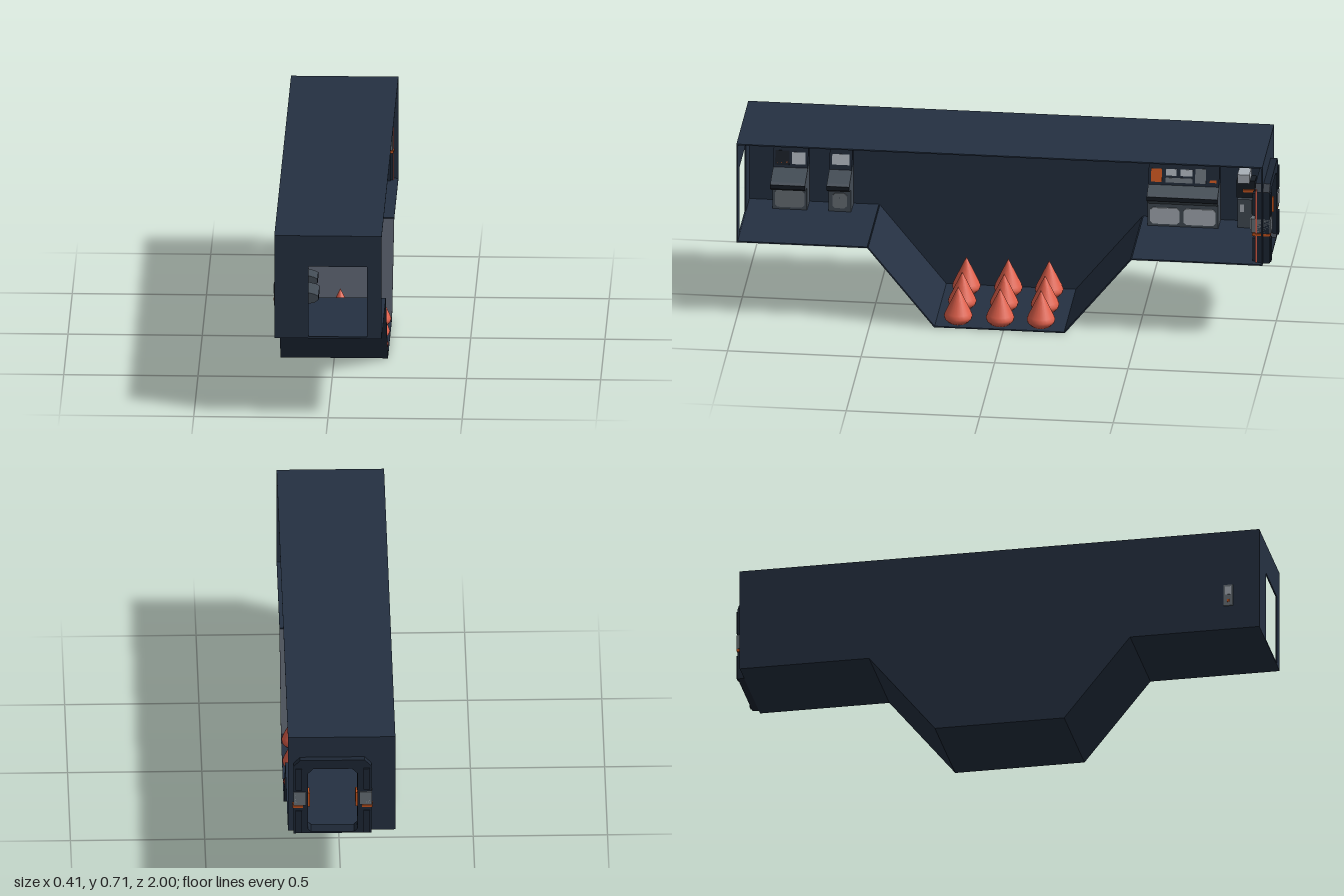
import * as THREE from 'three';

const mat = (name, color) => {
  const m = new THREE.MeshStandardMaterial({ color });
  m.name = name;
  return m;
};

export function createModel() {
  const hull = mat('navy hull', 0x253142);
  const frameMat = mat('dark frame', 0x1d2735);
  const dark = mat('near black', 0x171d25);
  const steel = mat('steel grey', 0x434c55);
  const mid = mat('mid grey', 0x6a7279);
  const light = mat('light grey', 0xa9b0b8);
  const orange = mat('orange', 0xc8551f);
  const coral = mat('coral', 0xe2614c);

  const root = new THREE.Group();
  root.name = 'corridor';
  const T = 0.005;

  const add = (parent, name, geo, material) => {
    const m = new THREE.Mesh(geo, material);
    m.name = name;
    parent.add(m);
    return m;
  };
  // Box given by its limits on each axis
  const box = (parent, name, material, x0, x1, y0, y1, z0, z1) => {
    const m = add(parent, name, new THREE.BoxGeometry(x1 - x0, y1 - y0, z1 - z0), material);
    m.position.set((x0 + x1) / 2, (y0 + y1) / 2, (z0 + z1) / 2);
    return m;
  };
  const poly = (pts) => new THREE.Shape(pts.map(([x, y]) => new THREE.Vector2(x, y)));
  const extrude = (shape, depth) => new THREE.ExtrudeGeometry(shape, { depth, bevelEnabled: false });
  // Rectangle with top corners cut by ct and bottom corners by cb
  const chamfered = (x0, x1, y0, y1, ct, cb) => poly([
    [x0 + cb, y0], [x1 - cb, y0], [x1, y0 + cb], [x1, y1 - ct],
    [x1 - ct, y1], [x0 + ct, y1], [x0, y1 - ct], [x0, y0 + cb]]);

  // Floor line in z and y, dipping into a pit
  const floorLine = [[1, 0.31], [0.51, 0.31], [0.26, 0], [-0.23, 0], [-0.48, 0.31], [-0.97, 0.31]];

  // Closed long wall; the opposite side stays open
  const wallGeo = extrude(poly([...floorLine, [-0.97, 0.71], [1, 0.71]]), T);
  wallGeo.rotateY(-Math.PI / 2);
  add(root, 'longWall', wallGeo, hull).position.x = -0.2 + T;

  // Floor and pit slabs
  for (let i = 0; i < floorLine.length - 1; i++) {
    const [z0, y0] = floorLine[i], [z1, y1] = floorLine[i + 1];
    const a = Math.atan2(y1 - y0, z0 - z1);
    const slab = add(root, 'floorSlab', new THREE.BoxGeometry(0.4, T, Math.hypot(z1 - z0, y1 - y0)), hull);
    slab.rotation.x = a;
    slab.position.set(0, (y0 + y1) / 2 + Math.cos(a) * T / 2, (z0 + z1) / 2 + Math.sin(a) * T / 2);
  }
  box(root, 'roof', hull, -0.2, 0.2, 0.71 - T, 0.71, -0.97, 1);

  // End walls with doorways
  for (const z of [1 - T, -0.97]) {
    const s = poly([[-0.2, 0.31], [0.2, 0.31], [0.2, 0.71], [-0.2, 0.71]]);
    s.holes.push(poly([[-0.073, 0.317], [0.145, 0.317], [0.145, 0.59], [-0.073, 0.59]]));
    add(root, 'endWall', extrude(s, T), hull).position.z = z;
  }

  // Rear door frame, running through the end wall
  const door = new THREE.Group();
  door.name = 'doorFrame';
  root.add(door);
  const ring = chamfered(-0.11, 0.18, 0.312, 0.625, 0.025, 0);
  ring.holes.push(chamfered(-0.058, 0.126, 0.318, 0.588, 0.02, 0.012));
  add(door, 'frameRing', extrude(ring, 0.055), frameMat).position.z = -0.995;
  const C = 0.034;
  for (const s of [-1, 1]) {
    // Jamb sections: u is measured outward from the door centre
    const jamb = (name, m, u0, u1, y0, y1, z0, z1) => {
      const a = C + s * u0, b = C + s * u1;
      return box(door, name, m, Math.min(a, b), Math.max(a, b), y0, y1, z0, z1);
    };
    jamb('frameRib', frameMat, 0.115, 0.138, 0.315, 0.41, -1, -0.93);
    jamb('frameRib', frameMat, 0.115, 0.138, 0.5, 0.59, -1, -0.93);
    jamb('lockBlock', mid, 0.1, 0.146, 0.435, 0.49, -1, -0.925);
    jamb('lockCover', light, 0.112, 0.14, 0.445, 0.485, -1, -0.921);
    jamb('lockStrip', orange, 0.085, 0.093, 0.42, 0.48, -0.985, -0.945);
    jamb('lockFoot', orange, 0.11, 0.149, 0.423, 0.432, -0.998, -0.93);
    jamb('warningLine', coral, 0.143, 0.1475, 0.315, 0.61, -0.948, -0.942);
  }
  box(door, 'headerPlate', orange, -0.035, 0.105, 0.585, 0.588, -0.95, -0.94);

  // Wall consoles: base, projecting desk and sloped instrument back
  const makeConsole = (name, z0, z1, reach) => {
    const g = new THREE.Group();
    g.name = name;
    root.add(g);
    const body = poly([[-0.196, 0.314], [-0.113, 0.314], [-0.113, 0.405], [-0.196, 0.405]]);
    const desk = poly([[-0.196, 0.405], [-0.113, 0.405], [reach - 0.012, 0.418], [reach, 0.428],
      [reach, 0.444], [reach - 0.012, 0.45], [-0.15, 0.475], [-0.196, 0.475]]);
    const back = poly([[-0.196, 0.47], [-0.14, 0.47], [-0.16, 0.545], [-0.196, 0.545]]);
    add(g, 'base', extrude(body, z1 - z0), steel).position.z = z0;
    add(g, 'desk', extrude(desk, z1 - z0), steel).position.z = z0;
    add(g, 'backPanel', extrude(back, z1 - z0), frameMat).position.z = z0;
    box(g, 'deskEdge', dark, reach - 0.002, reach + 0.002, 0.428, 0.444, z0, z1);
    // Plate on the sloped instrument back
    const screen = (m, a, b, y0, y1) => {
      const p = add(g, 'screen', new THREE.BoxGeometry(0.006, y1 - y0, b - a), m);
      const y = (y0 + y1) / 2;
      p.position.set(-0.14 - (y - 0.47) * 0.267, y, (a + b) / 2);
      p.rotation.z = Math.atan(0.267);
    };
    // Rounded plate on the base front
    const vent = (m, a, b, y0, y1) => {
      const geo = extrude(chamfered(a, b, y0, y1, 0.01, 0.01), 0.005);
      geo.rotateY(-Math.PI / 2);
      add(g, 'ventPlate', geo, m).position.x = -0.109;
    };
    return { g, screen, vent };
  };

  const c1 = makeConsole('frontConsole', 0.77, 0.9, -0.04);
  c1.screen(light, 0.78, 0.83, 0.485, 0.53);
  c1.screen(dark, 0.84, 0.893, 0.48, 0.535);
  for (const z of [0.85, 0.868, 0.886]) c1.screen(orange, z - 0.003, z + 0.003, 0.49, 0.497);
  c1.vent(mid, 0.78, 0.89, 0.325, 0.395);

  const c2 = makeConsole('smallConsole', 0.605, 0.69, -0.05);
  c2.screen(light, 0.615, 0.68, 0.49, 0.53);
  c2.vent(mid, 0.62, 0.675, 0.33, 0.39);
  c2.vent(dark, 0.635, 0.66, 0.345, 0.375);

  const c3 = makeConsole('rearConsole', -0.77, -0.505, -0.085);
  c3.vent(light, -0.625, -0.515, 0.325, 0.39);
  c3.vent(light, -0.76, -0.64, 0.325, 0.39);
  c3.screen(orange, -0.555, -0.515, 0.48, 0.53);
  c3.screen(light, -0.61, -0.57, 0.505, 0.53);
  c3.screen(mid, -0.67, -0.57, 0.48, 0.498);
  c3.screen(light, -0.67, -0.625, 0.505, 0.53);
  c3.screen(mid, -0.72, -0.68, 0.48, 0.535);
  c3.screen(orange, -0.76, -0.735, 0.485, 0.495);

  // Narrow cabinet beside the rear door
  const cabinet = new THREE.Group();
  cabinet.name = 'cabinet';
  root.add(cabinet);
  box(cabinet, 'cabinetBase', steel, -0.196, -0.13, 0.314, 0.43, -0.895, -0.84);
  box(cabinet, 'cabinetNeck', dark, -0.196, -0.145, 0.43, 0.5, -0.905, -0.835);
  box(cabinet, 'cabinetHead', light, -0.196, -0.13, 0.495, 0.53, -0.885, -0.84);
  box(cabinet, 'cabinetLabel', light, -0.13, -0.127, 0.38, 0.41, -0.865, -0.85);
  box(cabinet, 'cabinetTrim', orange, -0.145, -0.14, 0.455, 0.465, -0.9, -0.86);

  // Control plate on the outside of the long wall
  box(root, 'outerPlate', mid, -0.204, -0.2, 0.405, 0.49, 0.865, 0.9);
  box(root, 'outerPlateScreen', light, -0.206, -0.204, 0.45, 0.482, 0.872, 0.893);
  box(root, 'outerPlateButton', orange, -0.206, -0.204, 0.42, 0.43, 0.878, 0.887);

  // Rows of spikes on the pit floor
  const spikeGeo = new THREE.LatheGeometry(
    [[0, 0], [0.036, 0], [0.05, 0.014], [0.053, 0.026], [0.048, 0.04], [0, 0.142]]
      .map(([r, y]) => new THREE.Vector2(r, y)), 24);
  for (const x of [-0.13, 0.01, 0.147]) {
    for (const z of [0.175, 0.018, -0.135]) {
      add(root, 'spike', spikeGeo, coral).position.set(x, T, z);
    }
  }
  return root;
}
